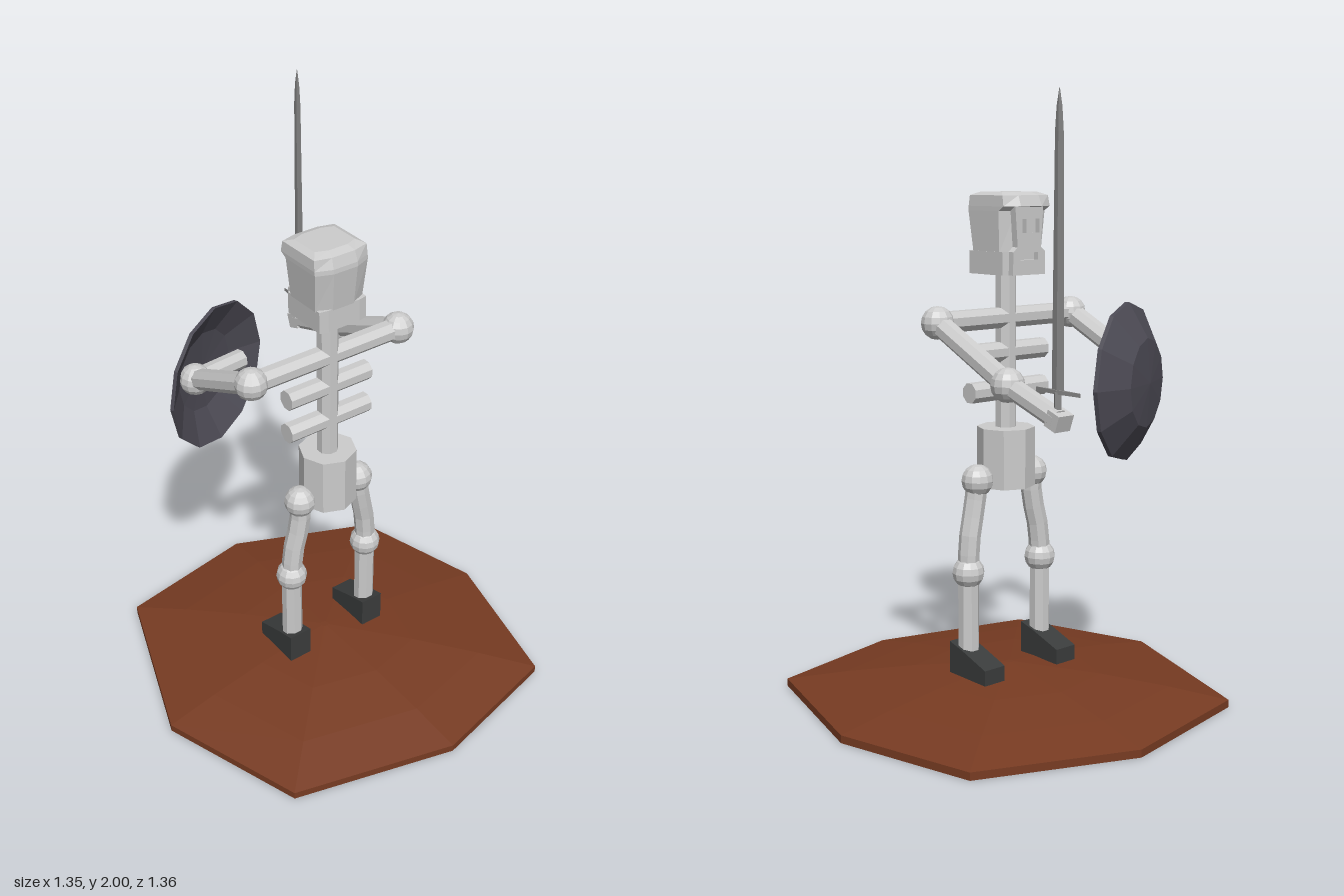
import * as THREE from 'three';

const V = (x, y, z) => new THREE.Vector3(x, y, z);
const UP = V(0, 1, 0);

function material(color) {
  return new THREE.MeshStandardMaterial({ color, flatShading: true });
}

// Closed solid through rings of equal point count, listed bottom to top
function loft(rings) {
  const pos = [];
  const n = rings[0].length;
  const tri = (...pts) => pts.forEach((p) => pos.push(p.x, p.y, p.z));
  const middle = (r) => r.reduce((s, p) => s.add(p), V(0, 0, 0)).divideScalar(n);
  const top = rings[rings.length - 1];
  const lowMid = middle(rings[0]);
  const topMid = middle(top);
  for (let j = 0; j < n; j++) {
    const k = (j + 1) % n;
    for (let i = 0; i < rings.length - 1; i++) {
      const a = rings[i], b = rings[i + 1];
      tri(a[j], b[j], a[k]);
      tri(a[k], b[j], b[k]);
    }
    tri(lowMid, rings[0][j], rings[0][k]);
    tri(topMid, top[k], top[j]);
  }
  const g = new THREE.BufferGeometry();
  g.setAttribute('position', new THREE.Float32BufferAttribute(pos, 3));
  g.computeVertexNormals();
  return g;
}

// Rectangle at height y with corners cut by cx along x and cz along z
function cutRect(y, x0, x1, z0, z1, cx, cz) {
  return [
    [x0 + cx, z0], [x1 - cx, z0], [x1, z0 + cz], [x1, z1 - cz],
    [x1 - cx, z1], [x0 + cx, z1], [x0, z1 - cz], [x0, z0 + cz],
  ].map(([x, z]) => V(x, y, z));
}

export function createModel() {
  const group = new THREE.Group();
  const bone = material(0xcccccc);
  const dark = material(0x3a3c3c);
  const steel = material(0x8f8f8f);

  function add(name, geometry, mat = bone) {
    const mesh = new THREE.Mesh(geometry, mat);
    mesh.name = name;
    group.add(mesh);
    return mesh;
  }
  function limb(name, a, b, r = 0.036) {
    const d = b.clone().sub(a);
    const mesh = add(name, new THREE.CylinderGeometry(r, r, d.length(), 8).rotateY(Math.PI / 8));
    mesh.quaternion.setFromUnitVectors(UP, d.normalize());
    mesh.position.copy(a).add(b).multiplyScalar(0.5);
  }
  function joint(name, p, r = 0.054) {
    add(name, new THREE.SphereGeometry(r, 12, 8)).position.copy(p);
  }

  // Uneven octagonal mound
  const rim = [[0.022, -0.682], [0.56, -0.54], [0.673, -0.05], [0.522, 0.507],
    [0.022, 0.678], [-0.58, 0.467], [-0.673, -0.05], [-0.457, -0.552]];
  const mound = (y, s) => rim.map(([x, z]) => V(x * s, y, z * s));
  add('groundMound', loft([mound(0, 1), mound(0.026, 1), mound(0.06, 0.73), mound(0.09, 0.42), mound(0.115, 0.02)]),
    material(0x773b22));

  // Legs and feet
  const footShape = new THREE.Shape([[-0.108, 0.103], [0.076, 0.103], [0.076, 0.212], [0.012, 0.195], [-0.108, 0.155]]
    .map(([x, y]) => new THREE.Vector2(x, y)));
  for (const s of [1, -1]) {
    const side = s > 0 ? 'left' : 'right';
    const hip = V(0.03, 0.76, s * 0.12 + 0.005);
    const knee = V(0.027, 0.454, s * 0.16 + 0.002);
    add(side + 'Foot', new THREE.ExtrudeGeometry(footShape, { depth: 0.085, bevelEnabled: false }), dark)
      .position.z = s * 0.16 - 0.0405;
    limb(side + 'Shin', V(0.027, 0.15, s * 0.16 + 0.002), knee);
    joint(side + 'Knee', knee);
    const bend = new THREE.CatmullRomCurve3([hip, V(0.031, 0.68, s * 0.127), V(0.027, 0.56, s * 0.153), knee]);
    add(side + 'Thigh', new THREE.TubeGeometry(bend, 5, 0.036, 8));
    joint(side + 'Hip', hip);
  }

  // Torso
  add('pelvis', new THREE.CylinderGeometry(0.098, 0.098, 0.2, 8)).position.set(0.028, 0.829, 0.008);
  limb('spine', V(0.03, 0.9, 0.01), V(0.03, 1.46, 0.01));
  for (const y of [1.055, 1.182]) limb('rib', V(0.03, y, -0.148), V(0.03, y, 0.173), 0.035);
  const leftShoulder = V(0.03, 1.295, 0.303);
  const rightShoulder = V(0.03, 1.295, -0.277);
  limb('collarBone', rightShoulder, leftShoulder);
  joint('leftShoulder', leftShoulder);
  joint('rightShoulder', rightShoulder);

  // Jaw and cranium, bowed at front and back
  add('jaw', loft([
    cutRect(1.44, -0.06, 0.117, -0.078, 0.1, 0.006, 0.03),
    cutRect(1.515, -0.06, 0.117, -0.078, 0.102, 0.006, 0.03),
  ]));
  add('cranium', loft([
    cutRect(1.51, -0.06, 0.117, -0.076, 0.104, 0.024, 0.05),
    cutRect(1.645, -0.06, 0.135, -0.08, 0.119, 0.022, 0.055),
    cutRect(1.66, -0.084, 0.134, -0.08, 0.12, 0.022, 0.055),
    cutRect(1.695, -0.07, 0.123, -0.078, 0.118, 0.015, 0.055),
    cutRect(1.706, -0.04, 0.095, -0.055, 0.095, 0.015, 0.04),
  ]));

  // Face plate pierced by eyes and mouth
  const path = (pts, Type) => new Type(pts.map(([x, y]) => new THREE.Vector2(x, y)));
  const face = path([[-0.07, 1.44], [0.07, 1.44], [0.068, 1.515], [0.05, 1.53], [0.06, 1.66], [-0.06, 1.66],
    [-0.05, 1.53], [-0.068, 1.515]], THREE.Shape);
  const hole = (x0, x1, y0, y1) => face.holes.push(path([[x0, y0], [x0, y1], [x1, y1], [x1, y0]], THREE.Path));
  hole(-0.044, -0.012, 1.575, 1.62);
  hole(0.012, 0.044, 1.575, 1.62);
  hole(-0.038, 0.038, 1.488, 1.512);
  const plate = add('face', new THREE.ExtrudeGeometry(face, { depth: 0.025, bevelEnabled: false }));
  plate.rotation.y = -Math.PI / 2;
  plate.position.set(-0.055, 0, 0.015);

  // Sword arm
  const rightElbow = V(-0.318, 1.135, -0.284);
  const rightHand = V(-0.545, 1.058, -0.285);
  limb('rightUpperArm', rightShoulder, rightElbow);
  joint('rightElbow', rightElbow);
  limb('rightForearm', rightElbow, rightHand, 0.033);
  const hand = add('rightHand', new THREE.BoxGeometry(0.05, 0.052, 0.06));
  hand.position.copy(rightHand);
  hand.rotation.z = 0.34;

  // Shield arm
  const leftElbow = V(-0.315, 1.135, 0.3);
  limb('leftUpperArm', leftShoulder, leftElbow);
  joint('leftElbow', leftElbow);
  limb('leftForearm', leftElbow, V(-0.343, 1.128, 0.1), 0.034);

  // Sword: diamond sections for blade and guard
  const diamond = (y, w, t) => [[0, -t], [w, 0], [0, t], [-w, 0]].map(([x, z]) => V(x - 0.54, y, z - 0.285));
  add('swordBlade', loft([diamond(1.14, 0.026, 0.005), diamond(1.88, 0.018, 0.004),
    diamond(1.95, 0.012, 0.003), diamond(2, 0.001, 0.001)]), steel);
  add('swordGuard', loft([diamond(1.134, 0.095, 0.008), diamond(1.146, 0.095, 0.008)]), steel);
  add('swordGrip', new THREE.CylinderGeometry(0.011, 0.011, 0.11, 6), steel).position.set(-0.54, 1.085, -0.285);

  // Dished round shield
  const profile = [[0, 0.06], [0.145, 0.05], [0.257, -0.008], [0.257, 0.006], [0.145, 0.072], [0, 0.083]]
    .map(([r, y]) => new THREE.Vector2(r, y));
  const shieldMat = material(0x4c4a54);
  shieldMat.side = THREE.DoubleSide;
  const shield = add('shield', new THREE.LatheGeometry(profile, 12, 0.397), shieldMat);
  shield.quaternion.setFromUnitVectors(UP, V(-0.922, 0, 0.387).normalize());
  shield.position.set(-0.343, 1.102, 0.2);

  return group;
}
